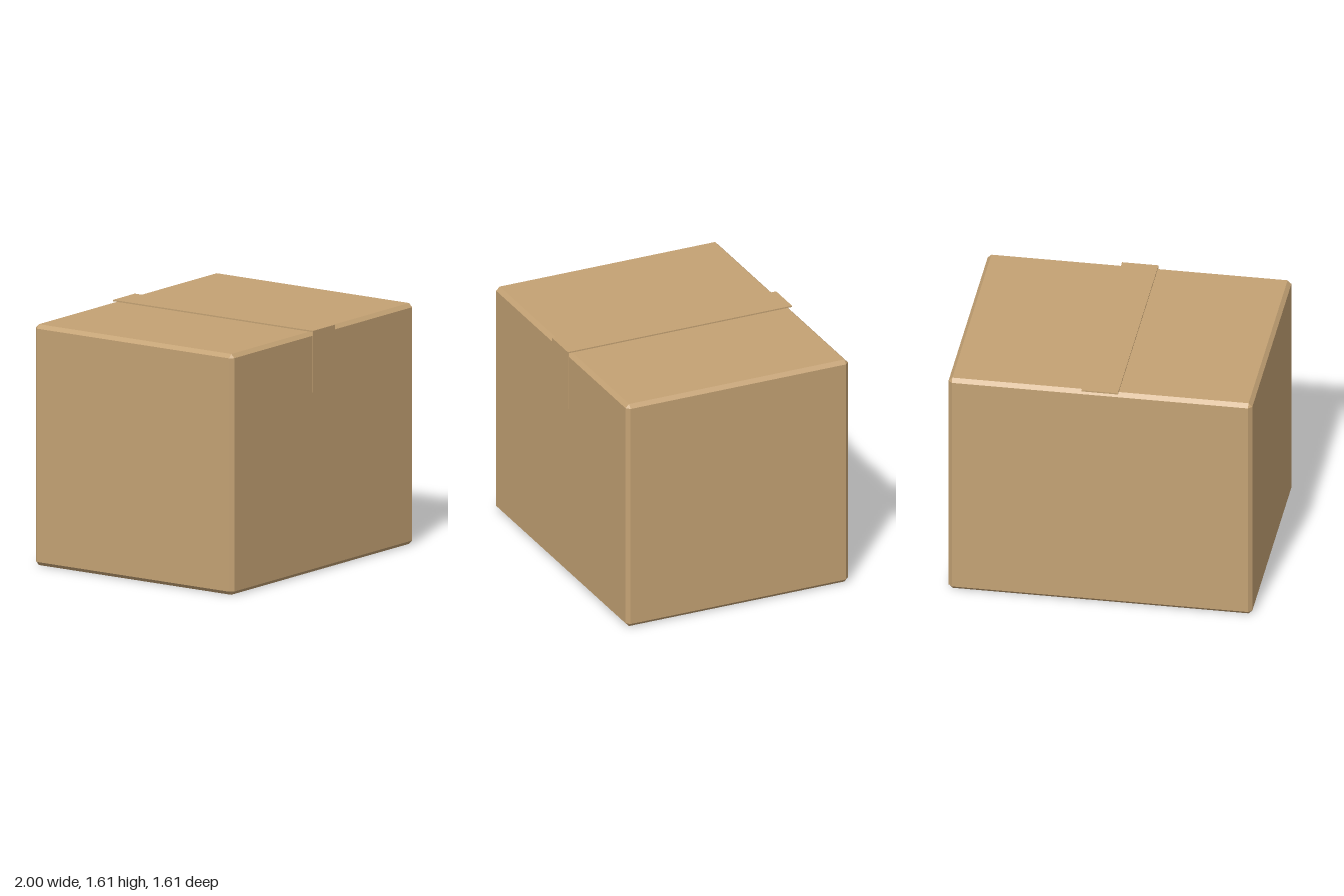
import * as THREE from 'three';
import { ConvexGeometry } from 'three/addons/geometries/ConvexGeometry.js';

// Box with flat chamfers on every edge and corner
function chamferedBox(w, h, d, c) {
  const points = [];
  for (const sx of [-1, 1]) for (const sy of [-1, 1]) for (const sz of [-1, 1]) {
    const x = sx * w / 2, y = sy * h / 2, z = sz * d / 2;
    points.push(
      new THREE.Vector3(x, y - sy * c, z - sz * c),
      new THREE.Vector3(x - sx * c, y, z - sz * c),
      new THREE.Vector3(x - sx * c, y - sy * c, z),
    );
  }
  return new ConvexGeometry(points);
}

export function createModel() {
  const model = new THREE.Group();
  model.name = 'cardboardBox';

  const cardboard = new THREE.MeshStandardMaterial({ color: 0xc4a274 });
  cardboard.name = 'cardboard brown';

  const add = (name, geometry, x, y, z) => {
    const mesh = new THREE.Mesh(geometry, cardboard);
    mesh.name = name;
    mesh.position.set(x, y, z);
    model.add(mesh);
  };

  // Closed carton
  add('carton', chamferedBox(2, 1.6, 1.6, 0.025), 0, 0.8, 0);

  // Tape along the lid, overhanging slightly front and back
  add('lidTape', new THREE.BoxGeometry(0.24, 0.009, 1.614), 0, 1.6045, 0);

  // Tape end folded down the front
  add('frontTape', new THREE.BoxGeometry(0.24, 0.4, 0.007), 0, 1.4, 0.8035);

  return model;
}
